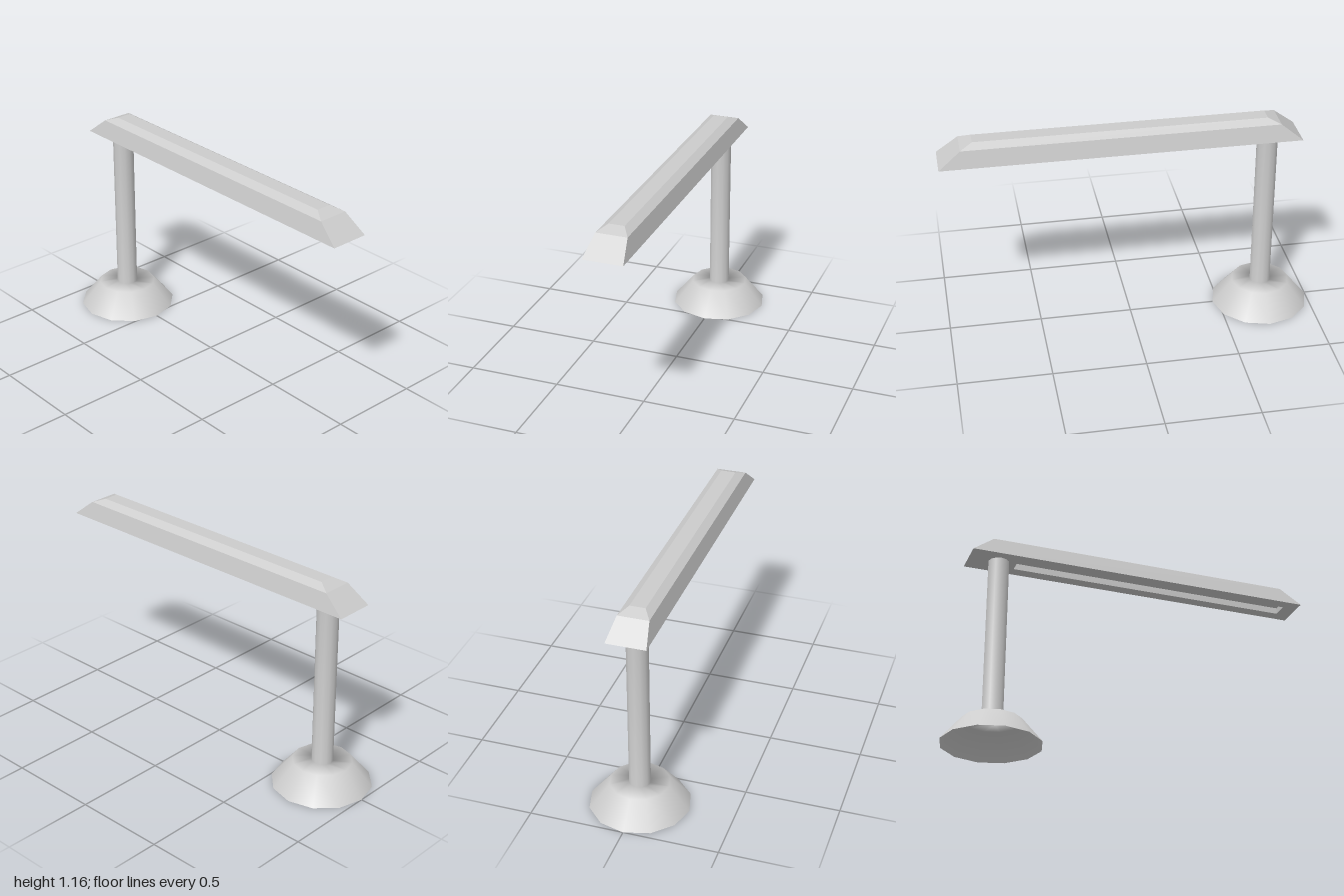
import * as THREE from 'three';

// Lofts rectangular rings [halfWidth, y, zBack, zFront] into a flat-faced closed solid
function loftRects(rings) {
  const corners = rings.map(([w, y, zb, zf]) => [[w, y, zf], [w, y, zb], [-w, y, zb], [-w, y, zf]]);
  const pos = [];
  const quad = (a, b, c, d) => pos.push(...a, ...b, ...c, ...a, ...c, ...d);
  const first = corners[0];
  const last = corners[corners.length - 1];
  quad(first[3], first[2], first[1], first[0]);
  for (let r = 0; r < corners.length - 1; r++) {
    const a = corners[r];
    const b = corners[r + 1];
    for (let i = 0; i < 4; i++) {
      const j = (i + 1) % 4;
      quad(a[i], a[j], b[j], b[i]);
    }
  }
  quad(last[0], last[1], last[2], last[3]);
  const geometry = new THREE.BufferGeometry();
  geometry.setAttribute('position', new THREE.Float32BufferAttribute(pos, 3));
  geometry.computeVertexNormals();
  return geometry;
}

export function createModel() {
  const model = new THREE.Group();
  model.name = 'deskLamp';

  const grey = new THREE.MeshStandardMaterial({ color: 0xcccccc, side: THREE.DoubleSide });
  grey.name = 'light grey';

  // Hollow base and pole, one smooth twelve-sided shell
  const profile = [[0.266, 0], [0.158, 0.131], [0.057, 0.131], [0.057, 1.047]]
    .map(([r, y]) => new THREE.Vector2(r, y));
  const stand = new THREE.Mesh(new THREE.LatheGeometry(profile, 12), grey);
  stand.name = 'baseAndPole';
  stand.position.z = -0.734;
  model.add(stand);

  // Long bevelled lamp head with a light recess underneath
  const head = new THREE.Mesh(loftRects([
    [0.043, 1.08, -0.64, 0.92],   // recess ceiling
    [0.043, 1.045, -0.64, 0.92],  // recess mouth
    [0.105, 1.045, -0.9, 1.0],    // lower edge
    [0.082, 1.137, -0.785, 0.885], // shoulder
    [0.041, 1.162, -0.72, 0.82],  // top
  ]), grey);
  head.name = 'lampHead';
  model.add(head);

  return model;
}
